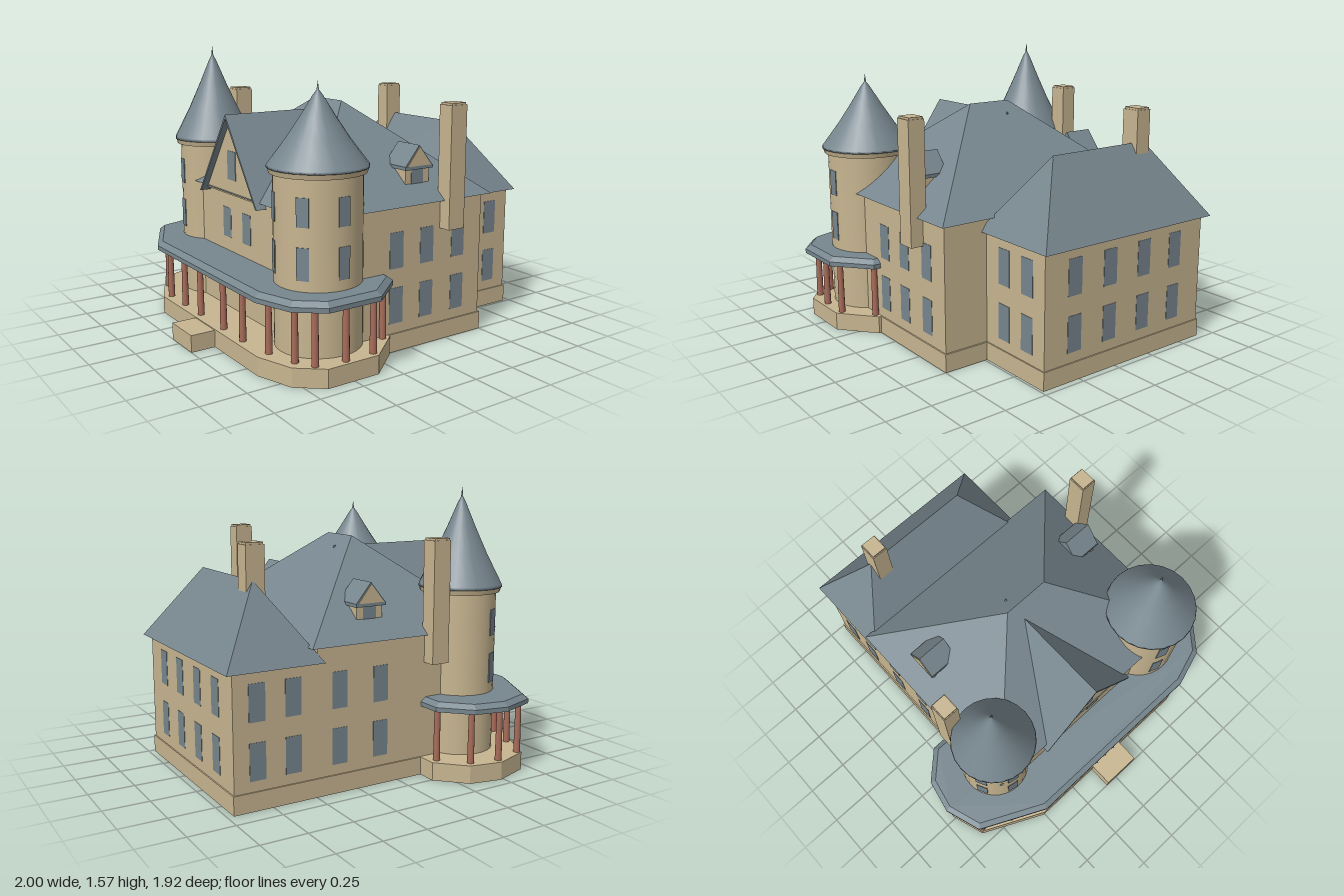
import * as THREE from 'three';

const mat = (name, color, side = THREE.FrontSide) => {
  const m = new THREE.MeshStandardMaterial({ color, side });
  m.name = name;
  return m;
};

export function createModel() {
  const house = new THREE.Group();
  house.name = 'towerHouse';
  const stone = mat('sandstone', 0xc7b590, THREE.DoubleSide);
  const slate = mat('slate', 0x77868e);
  const glass = mat('windowGlass', 0x77868e);
  const brick = mat('redColumn', 0xa86c5a);

  const add = (name, geo, m, parent = house) => {
    const mesh = new THREE.Mesh(geo, m);
    mesh.name = name;
    parent.add(mesh);
    return mesh;
  };
  // Box given by its limits on each axis
  const block = (name, x0, x1, y0, y1, z0, z1, m = stone, parent = house) => {
    const g = new THREE.BoxGeometry(x1 - x0, y1 - y0, z1 - z0);
    g.translate((x0 + x1) / 2, (y0 + y1) / 2, (z0 + z1) / 2);
    return add(name, g, m, parent);
  };
  // Box shell without its bottom face
  const shell = (...args) => {
    const g = block(...args).geometry;
    g.setIndex([...g.index.array].filter((_, i) => i < 18 || i >= 24));
    g.clearGroups();
  };
  // Hipped roof with its ridge along z and a closed soffit
  const hipRoof = (name, x0, x1, z0, z1, y0, y1, r0, r1) => {
    const xm = (x0 + x1) / 2;
    const a = [x0, y0, z0], b = [x1, y0, z0], c = [x1, y0, z1], d = [x0, y0, z1];
    const p = [xm, y1, r0], q = [xm, y1, r1];
    const faces = [d, c, q, b, a, p, c, b, p, c, p, q, a, d, q, a, q, p, a, b, c, a, c, d];
    const g = new THREE.BufferGeometry();
    g.setAttribute('position', new THREE.Float32BufferAttribute(faces.flat(), 3));
    g.computeVertexNormals();
    return add(name, g, slate);
  };
  // Upright window pane facing the given angle (0 = +z, 90 = +x)
  const pane = (x, y, z, w, h, angle, parent = house) => {
    const p = add('window', new THREE.BoxGeometry(w, h, 0.004), glass, parent);
    p.position.set(x, y, z);
    p.rotation.y = THREE.MathUtils.degToRad(angle);
  };
  const polygon = pts => new THREE.Shape(pts.map(([x, y]) => new THREE.Vector2(x, y)));
  const extrude = (shape, depth, extra) =>
    new THREE.ExtrudeGeometry(shape, { depth, bevelEnabled: false, ...extra });
  // Lays an extrusion flat, with shape y running along -z
  const lay = (g, y) => g.rotateX(-Math.PI / 2).translate(0, y, 0);

  // Hollow main block and side wing, each on a low plinth ring
  const plinth = (name, x0, x1, z0, z1) => {
    const rect = t => polygon([[x0 + t, -z1 + t], [x1 - t, -z1 + t], [x1 - t, -z0 - t], [x0 + t, -z0 - t]]);
    const ring = rect(0);
    ring.holes.push(rect(0.014));
    add(name, lay(extrude(ring, 0.1), 0), stone);
  };
  shell('mainWalls', -0.62, 0.492, 0.09, 0.79, -0.64, 0.742);
  plinth('mainPlinth', -0.16, 0.502, -0.648, 0.75);
  shell('wingWalls', 0.47, 0.96, 0.05, 0.715, -0.64, 0.48);
  plinth('wingPlinth', 0.47, 0.967, -0.648, 0.487);
  hipRoof('mainRoof', -0.65, 0.535, -0.67, 0.778, 0.785, 1.28, -0.08, 0.185);
  hipRoof('wingRoof', 0.46, 1, -0.67, 0.51, 0.708, 1.113, -0.405, 0.24);

  // Wall windows on two floors
  for (const y of [0.253, 0.552]) {
    for (const x of [-0.1, 0.105, 0.325]) pane(x, y, 0.742, 0.09, 0.195, 0);
    for (const x of [0.64, 0.825]) pane(x, y, 0.48, 0.09, 0.195, 0);
    for (const x of [0.11, 0.36, 0.63, 0.83]) pane(x, y, -0.64, 0.09, 0.195, 180);
    for (const z of [0.285, 0.045, -0.198, -0.433]) pane(0.96, y, z, 0.09, 0.195, 90);
  }
  for (const z of [-0.13, 0.09]) pane(-0.62, 0.6, z, 0.09, 0.17, -90);

  // Cross gable on the right-hand side, between the towers
  const gable = new THREE.Group();
  gable.name = 'crossGable';
  house.add(gable);
  const alongX = (shape, x0, x1) => {
    const g = extrude(shape, x1 - x0);
    g.rotateY(Math.PI / 2);
    return g.translate(x0, 0, 0);
  };
  // Shape x runs along -z
  add('gableWall', alongX(polygon([[-0.28, 0.775], [0.32, 0.775], [0.02, 1.2]]), -0.645, -0.3), stone, gable);
  add('gableRoof', alongX(polygon([[-0.305, 0.755], [-0.292, 0.755], [0.02, 1.2],
    [0.332, 0.755], [0.345, 0.755], [0.02, 1.222]]), -0.68, 0.026), slate, gable);
  pane(-0.646, 0.94, -0.02, 0.09, 0.16, -90, gable);

  // Dormers on the front and back slopes
  const dormer = (x, z, angle) => {
    const d = new THREE.Group();
    d.name = 'dormer';
    block('dormerWalls', -0.08, 0.08, 0.868, 0.965, -0.2, 0, stone, d);
    block('dormerEaves', -0.093, 0.093, 0.952, 0.97, -0.16, 0.018, slate, d);
    const roof = extrude(polygon([[-0.093, 0.968], [0.093, 0.968], [0, 1.08]]), 0.175);
    add('dormerRoof', roof.translate(0, 0, -0.16), slate, d);
    const face = extrude(polygon([[-0.08, 0.97], [0.08, 0.97], [0, 1.07]]), 0.005);
    add('dormerGable', face.translate(0, 0, 0.014), stone, d);
    pane(0, 0.91, 0, 0.08, 0.08, 0, d);
    d.position.set(x, 0, z);
    d.rotation.y = angle;
    house.add(d);
  };
  dormer(0.09, 0.67, 0);
  dormer(0.125, -0.55, Math.PI);

  // Chimneys with a narrow cap
  const chimney = (x, z, y0) => {
    block('chimney', x - 0.053, x + 0.053, y0, 1.292, z - 0.047, z + 0.047);
    block('chimneyCap', x - 0.048, x + 0.048, 1.292, 1.303, z - 0.042, z + 0.042);
  };
  chimney(0.247, 0.768, 0.63);
  chimney(-0.225, -0.668, 0.63);
  chimney(0.715, -0.362, 1.0);

  // Round hollow towers: wall, cornice, spire and windows
  const tower = (name, x, z, r, eave, tip, angles) => {
    const t = new THREE.Group();
    t.name = name;
    t.position.set(x, 0, z);
    house.add(t);
    const wall = new THREE.CylinderGeometry(r, r, 1, 32, 1, true);
    add('towerWall', wall.translate(0, 0.5, 0), stone, t);
    const cornice = new THREE.CylinderGeometry(eave - 0.004, eave - 0.012, 0.03, 32);
    add('towerCornice', cornice.translate(0, 1.008, 0), stone, t);
    const h = tip - 1.02;
    const profile = [[0, 0], [1, 0], [0.985, 0.03], [0.62, 0.33], [0.33, 0.6], [0.1, 0.83], [0.025, 0.89], [0, 1]]
      .map(([u, v]) => new THREE.Vector2(u * eave, 1.02 + v * h));
    add('spire', new THREE.LatheGeometry(profile, 24), slate, t);
    for (const a of angles) {
      const k = THREE.MathUtils.degToRad(a);
      const px = Math.sin(k) * r, pz = Math.cos(k) * r;
      pane(px, 0.83, pz, 0.065, 0.145, a, t);
      pane(px, 0.575, pz, 0.065, 0.165, a, t);
    }
  };
  tower('frontTower', -0.5, 0.61, 0.228, 0.26, 1.44, [0, -53, -110]);
  tower('backTower', -0.47, -0.56, 0.2, 0.232, 1.57, [-153, -100]);

  // Outline shared by the porch roof and terrace, as [x, z]
  const outline = [[-0.155, 0.785], [-0.36, 0.955], [-0.67, 0.955], [-0.81, 0.84], [-0.88, 0.625],
    [-0.88, -0.52], [-0.7, -0.895], [-0.49, -0.965], [-0.3, -0.925], [-0.155, -0.775]];
  const plan = s => outline.map(([x, z]) => [-0.155 + (x + 0.155) * s, -z * s]);

  // Porch roof: bevelled on top, flat below
  const porch = lay(extrude(polygon(plan(1)), 0.025, {
    bevelEnabled: true, bevelSegments: 1, bevelSize: 0.03, bevelThickness: 0.024, bevelOffset: -0.03,
  }), 0.388);
  const pos = porch.attributes.position;
  for (let i = 0; i < pos.count; i++) pos.setY(i, Math.max(pos.getY(i), 0.388));
  porch.computeVertexNormals();
  add('porchRoof', porch, slate);

  // Terrace: hollow rim under a deck, with an entrance step
  const rim = polygon(plan(0.974));
  rim.holes.push(polygon(plan(0.95).map(([x, y]) => [x - 0.014, y])));
  add('terraceRim', lay(extrude(rim, 0.09), 0), stone);
  add('terraceDeck', lay(extrude(polygon(plan(0.974)), 0.012), 0.088), stone);
  shell('entranceStep', -1, -0.85, 0, 0.095, -0.08, 0.153);

  // Porch columns
  const columns = [[-0.2, 0.76], [-0.36, 0.89], [-0.53, 0.895], [-0.69, 0.865], [-0.745, 0.77],
    [-0.79, 0.6], [-0.815, 0.38], [-0.815, 0.17], [-0.815, -0.1], [-0.815, -0.3], [-0.815, -0.49],
    [-0.745, -0.68], [-0.67, -0.85], [-0.49, -0.9], [-0.33, -0.86], [-0.2, -0.73]];
  for (const [x, z] of columns) {
    const shaft = new THREE.CylinderGeometry(0.016, 0.019, 0.3, 12);
    add('porchColumn', shaft.translate(x, 0.245, z), brick);
  }
  return house;
}
